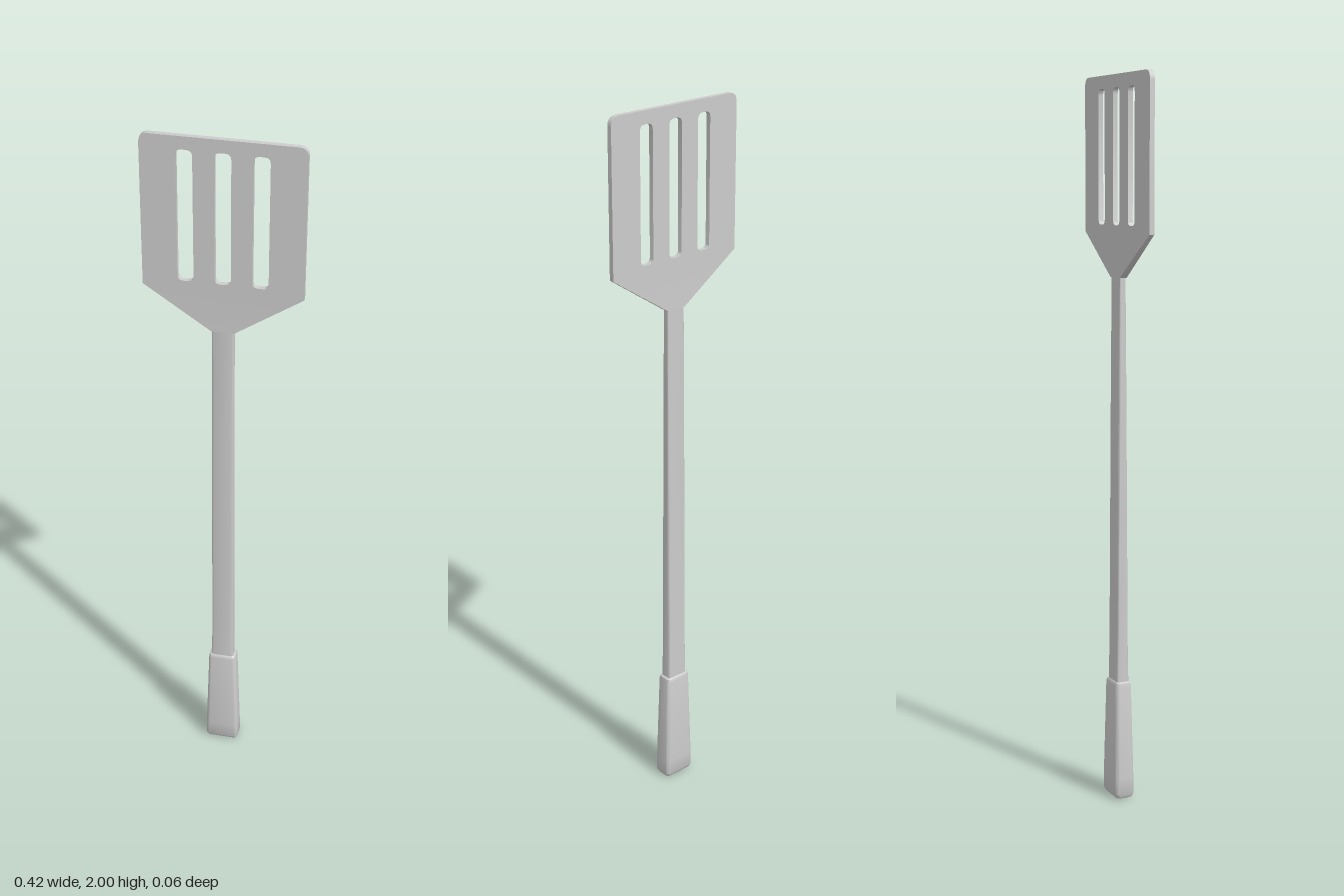
import * as THREE from 'three';
import { toCreasedNormals } from 'three/addons/utils/BufferGeometryUtils.js';

const material = new THREE.MeshStandardMaterial({ color: 0xcccccc });
const Z = -0.002; // common centre plane

// Closed loft through rounded rectangles: rows of [y, half width, half depth, corner radius]
function loft(rows, steps = 3) {
  const pos = [], index = [], n = 4 * (steps + 1);
  for (const [y, w, d, r] of rows) {
    for (let c = 0; c < 4; c++) {
      const sx = c === 0 || c === 3 ? 1 : -1, sz = c < 2 ? 1 : -1;
      for (let i = 0; i <= steps; i++) {
        const a = (c + i / steps) * Math.PI / 2;
        pos.push(sx * (w - r) + r * Math.cos(a), y, Z + sz * (d - r) + r * Math.sin(a));
      }
    }
  }
  for (let k = 0; k < rows.length - 1; k++) {
    for (let i = 0; i < n; i++) {
      const a = k * n + i, b = k * n + (i + 1) % n;
      index.push(a, a + n, b, b, a + n, b + n);
    }
  }
  const last = (rows.length - 1) * n;
  for (let i = 1; i < n - 1; i++) {
    index.push(0, i, i + 1, last, last + i + 1, last + i);
  }
  const g = new THREE.BufferGeometry();
  g.setAttribute('position', new THREE.Float32BufferAttribute(pos, 3));
  g.setIndex(index);
  return toCreasedNormals(g, 0.6);
}

function roundedSlot(cx, w, y0, y1, r) {
  const p = new THREE.Path(), x0 = cx - w, x1 = cx + w;
  p.moveTo(x0 + r, y0);
  p.lineTo(x1 - r, y0);
  p.quadraticCurveTo(x1, y0, x1, y0 + r);
  p.lineTo(x1, y1 - r);
  p.quadraticCurveTo(x1, y1, x1 - r, y1);
  p.lineTo(x0 + r, y1);
  p.quadraticCurveTo(x0, y1, x0, y1 - r);
  p.lineTo(x0, y0 + r);
  p.quadraticCurveTo(x0, y0, x0 + r, y0);
  return p;
}

// Slotted blade, thickening towards the neck
function bladeGeometry() {
  const s = new THREE.Shape(), w = 0.21, r = 0.025;
  s.moveTo(-0.03, 1.46);
  s.lineTo(0.03, 1.46);
  s.lineTo(w, 1.58);
  s.lineTo(w, 2 - r);
  s.quadraticCurveTo(w, 2, w - r, 2);
  s.lineTo(-w + r, 2);
  s.quadraticCurveTo(-w, 2, -w, 2 - r);
  s.lineTo(-w, 1.58);
  s.closePath();
  for (const x of [-0.097, 0, 0.097]) s.holes.push(roundedSlot(x, 0.021, 1.6, 1.965, 0.016));
  const g = new THREE.ExtrudeGeometry(s, { depth: 1, bevelEnabled: false, curveSegments: 5 });
  const p = g.attributes.position;
  for (let i = 0; i < p.count; i++) {
    const t = THREE.MathUtils.clamp((1.58 - p.getY(i)) / 0.12, 0, 1);
    p.setZ(i, Z + (p.getZ(i) - 0.5) * (0.014 + 0.007 * t));
  }
  return toCreasedNormals(g, 0.6);
}

export function createModel() {
  const model = new THREE.Group();
  model.name = 'spatula';
  const add = (name, geometry) => {
    const mesh = new THREE.Mesh(geometry, material);
    mesh.name = name;
    model.add(mesh);
  };

  add('blade', bladeGeometry());

  // Flat shaft, deeper towards the grip
  add('shaft', loft([
    [0.32, 0.032, 0.018, 0.006],
    [0.45, 0.031, 0.016, 0.006],
    [1.1, 0.03, 0.012, 0.005],
    [1.47, 0.029, 0.009, 0.004],
  ]));

  // Flared grip with softened ends
  add('grip', loft([
    [0, 0.036, 0.016, 0.006],
    [0.004, 0.044, 0.023, 0.009],
    [0.014, 0.049, 0.028, 0.011],
    [0.06, 0.048, 0.028, 0.011],
    [0.325, 0.04, 0.023, 0.009],
    [0.334, 0.038, 0.021, 0.008],
    [0.337, 0.034, 0.018, 0.006],
  ]));
  return model;
}
